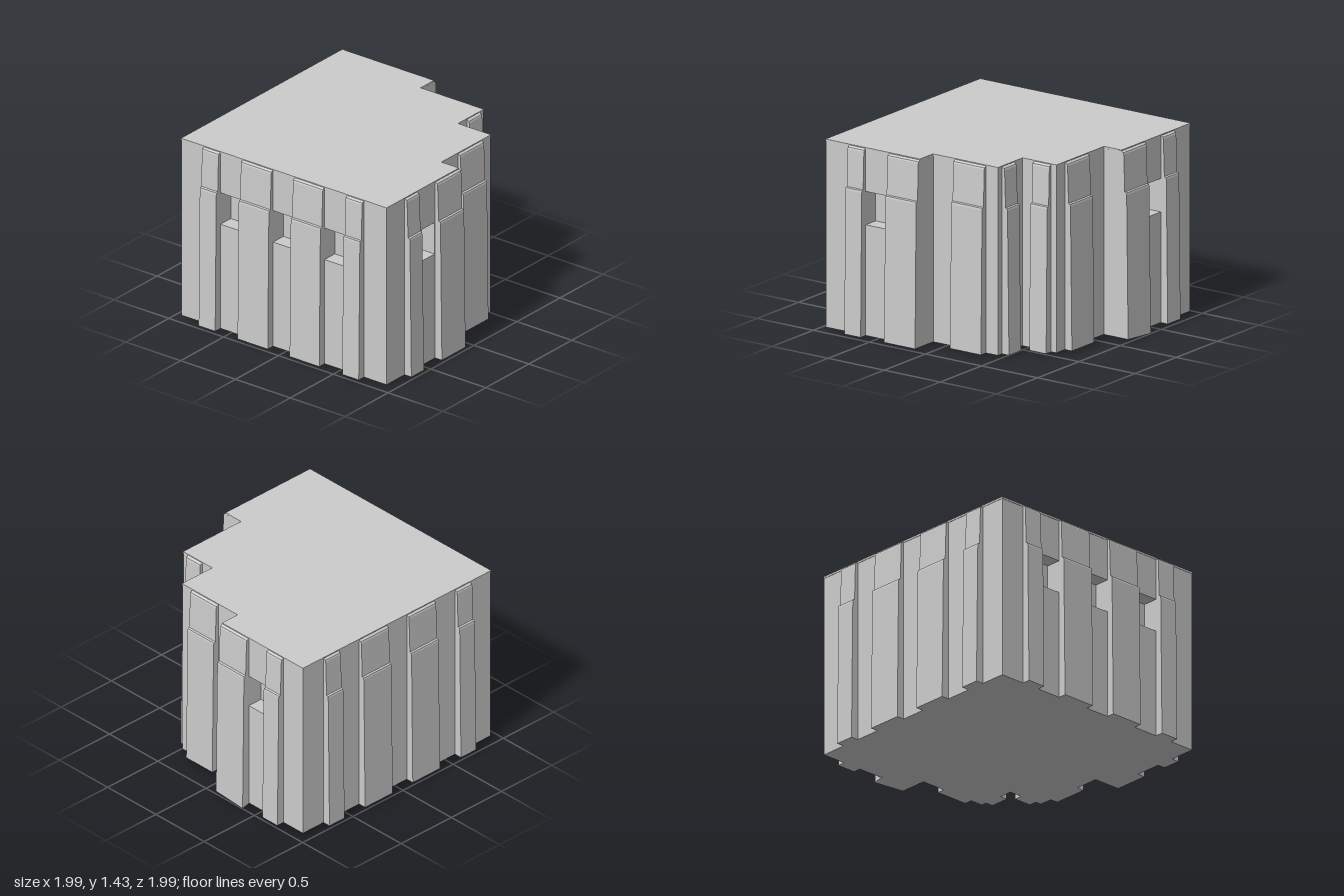
import * as THREE from 'three';

const material = new THREE.MeshStandardMaterial({ color: 0xcccccc, flatShading: true });
const BASE = 0.02, TOP = 1.43;

// Stepped floor plan as [x, z] corners; the back +x corner steps inwards.
// Window notches of the given depth are cut when depth > 0.
function plan(depth) {
  const d = depth, e = 0.935;
  const frontNotch = (a, b) => d ? [[a, e], [a, e - d], [b, e - d], [b, e]] : [];
  const rightNotch = d ? [[e, 0.58], [e - d, 0.58], [e - d, 0.375], [e, 0.375]] : [];
  const backNotch = d ? [[-0.375, -e], [-0.375, -e + d], [-0.58, -e + d], [-0.58, -e]] : [];
  return [
    [-e, e],
    ...frontNotch(-0.58, -0.375), ...frontNotch(-0.1, 0.1), ...frontNotch(0.37, 0.58),
    [e, e], ...rightNotch,
    [e, 0.095], [0.775, 0.095], [0.775, -0.48], [0.475, -0.48],
    [0.475, -0.78], [-0.1, -0.78], [-0.1, -e], ...backNotch,
    [-e, -e],
  ];
}

// Vertical prism over a floor plan between two heights
function slab(name, corners, y0, y1) {
  const shape = new THREE.Shape(corners.map(([x, z]) => new THREE.Vector2(x, -z)));
  const geo = new THREE.ExtrudeGeometry(shape, { depth: y1 - y0, bevelEnabled: false });
  geo.rotateX(-Math.PI / 2).translate(0, y0, 0);
  const mesh = new THREE.Mesh(geo, material);
  mesh.name = name;
  return mesh;
}

// Buttress side profile [outwards, up]: leaning shaft, setback, slimmer head
const PROFILE = [
  [-0.02, BASE], [0.062, BASE], [0.049, 1.1], [0.046, 1.115], [0.032, 1.12],
  [0.023, 1.4], [0.019, 1.412], [0, 1.425], [-0.02, 1.425],
];
const TURN = { right: 0, back: Math.PI / 2, left: Math.PI, front: -Math.PI / 2 };

// Buttress on a wall facing `side` at offset `wall`, spanning a..b along it
function buttress(side, wall, a, b, sunkenCorner = false) {
  const w = b - a, mid = (a + b) / 2;
  const shape = new THREE.Shape(PROFILE.map(([x, y]) => new THREE.Vector2(x, y)));
  const geo = new THREE.ExtrudeGeometry(shape, { depth: w, bevelEnabled: false });
  geo.translate(0, 0, -w / 2);
  if (sunkenCorner) {
    const p = geo.attributes.position;
    for (let i = 0; i < p.count; i++) {
      if (p.getX(i) > 0.06 && p.getY(i) < 0.03 && p.getZ(i) < 0) p.setY(i, 0);
    }
  }
  const mesh = new THREE.Mesh(geo, material);
  mesh.rotation.y = TURN[side];
  if (side === 'left' || side === 'right') mesh.position.set(wall, 0, mid);
  else mesh.position.set(mid, 0, wall);
  mesh.name = side + 'Buttress';
  return mesh;
}

export function createModel() {
  const model = new THREE.Group();
  model.name = 'steppedBlock';

  // Walls in layers, the middle one cut back at the windows
  model.add(
    slab('lowerWalls', plan(0), BASE, 0.85),
    slab('windowBand', plan(0.12), 0.85, 1.1),
    slab('upperWalls', plan(0), 1.1, 1.415),
  );

  // Flat roof with a very slight lip
  const roof = slab('roof', plan(0), 1.415, TOP);
  roof.scale.set(1.003, 1, 1.003);
  model.add(roof);

  // Narrow outer and wide inner buttresses along the full walls
  const spans = [[-0.73, -0.58], [-0.375, -0.1], [0.1, 0.37], [0.58, 0.73]];
  for (const [a, b] of spans) {
    model.add(buttress('front', 0.935, a, b), buttress('left', -0.935, a, b));
  }

  // Buttresses following the stepped corner
  model.add(
    buttress('right', 0.935, 0.58, 0.725),
    buttress('right', 0.935, 0.095, 0.37),
    buttress('right', 0.775, -0.375, -0.1),
    buttress('right', 0.475, -0.735, -0.585),
    buttress('back', -0.48, 0.58, 0.725),
    buttress('back', -0.78, 0.1, 0.37),
    buttress('back', -0.935, -0.375, -0.1, true),
    buttress('back', -0.935, -0.735, -0.58),
  );
  return model;
}
